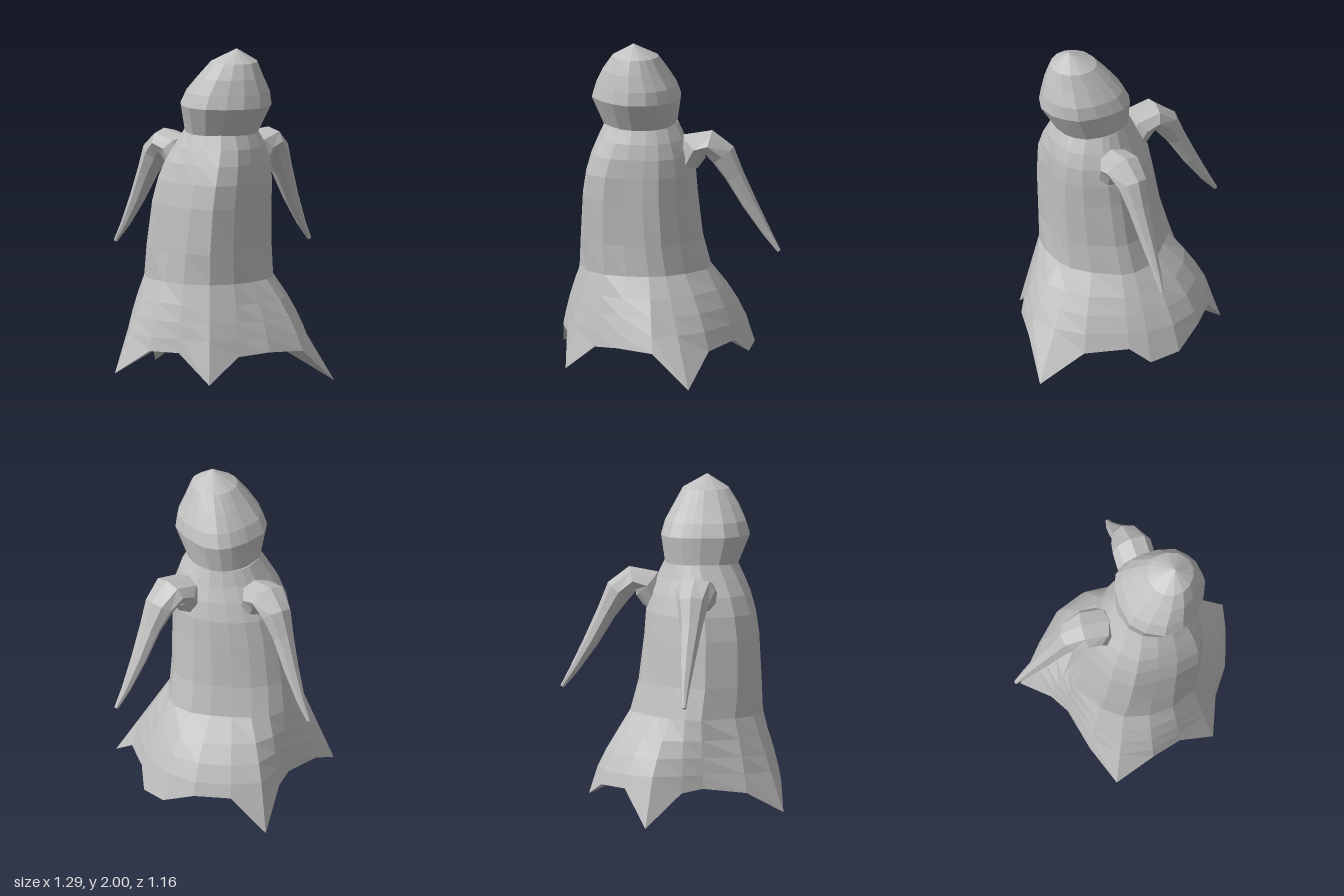
import * as THREE from 'three';

const cloth = new THREE.MeshStandardMaterial({ color: 0xc0c0c0, flatShading: true });
cloth.name = 'pale grey';

// Skins a stack of closed rings; a ring of one point becomes a fan
function loft(name, rings) {
  const pos = [];
  const tri = (...pts) => pts.forEach((p) => pos.push(...p));
  for (let i = 0; i + 1 < rings.length; i++) {
    const lo = rings[i], hi = rings[i + 1];
    const n = Math.max(lo.length, hi.length);
    for (let j = 0; j < n; j++) {
      const k = (j + 1) % n;
      if (lo.length === 1) tri(lo[0], hi[j], hi[k]);
      else if (hi.length === 1) tri(lo[j], hi[0], lo[k]);
      else {
        tri(lo[j], hi[j], hi[k]);
        tri(lo[j], hi[k], lo[k]);
      }
    }
  }
  const geo = new THREE.BufferGeometry();
  geo.setAttribute('position', new THREE.Float32BufferAttribute(pos, 3));
  geo.computeVertexNormals();
  const mesh = new THREE.Mesh(geo, cloth);
  mesh.name = name;
  return mesh;
}

// Ragged hem corners, clockwise from the back
const hem = [
  [-0.35, 0.005, -0.585], [-0.14, 0.22, -0.57], [0.08, 0.22, -0.57], [0.27, 0.14, -0.51],
  [0.40, 0.12, -0.375], [0.43, 0.21, -0.25], [0.52, 0.19, 0], [0.645, 0.01, 0.235],
  [0.45, 0.21, 0.36], [0.245, 0.22, 0.465], [0.06, 0.2, 0.50], [-0.12, 0.045, 0.58],
  [-0.29, 0.22, 0.45], [-0.455, 0.22, 0.36], [-0.65, 0.065, 0.22], [-0.575, 0.19, 0],
  [-0.44, 0.22, -0.22], [-0.40, 0.2, -0.35],
];
const angles = hem.map(([x, , z]) => Math.atan2((z - 0.08) / 0.37, (x + 0.085) / 0.375));

// Oval ring from its height, its extents in x and z, and how far the
// front and back diagonals swell (+) or draw in (-)
const oval = ([y, x0, x1, z0, z1, front, back]) => angles.map((a) => {
  const m = 1 + (Math.sin(a) > 0 ? front : back) * Math.sin(2 * a) ** 2;
  return [
    (x0 + x1) / 2 + ((x1 - x0) / 2) * m * Math.cos(a), y,
    (z0 + z1) / 2 + ((z1 - z0) / 2) * m * Math.sin(a),
  ];
});

function makeRobe() {
  const trunk = [
    [0.62, -0.46, 0.3, -0.305, 0.44, -0.05, 0.14],
    [0.8, -0.45, 0.29, -0.265, 0.455, -0.12, 0.1],
    [1.07, -0.42, 0.29, -0.235, 0.465, -0.16, 0.06],
    [1.21, -0.385, 0.29, -0.215, 0.455, -0.16, 0.06],
    [1.32, -0.34, 0.28, -0.18, 0.42, -0.12, 0.05],
    [1.41, -0.285, 0.25, -0.14, 0.375, -0.06, 0.03],
    [1.5, -0.23, 0.2, -0.11, 0.325, 0, 0],
  ].map(oval);
  // Skirt flares from the trunk to the hem, fuller at the back and between spikes
  const skirt = [0.3, 0.4, 0.5].map((y) => hem.map((h, j) => {
    const t = (0.62 - y) / (0.62 - h[1]);
    const fullness = Math.max(h[1] > 0.1 ? 0.6 : 0, -h[2] / 0.58);
    const f = t + 0.7 * t * (1 - t) * fullness;
    const p = trunk[0][j];
    return [p[0] + (h[0] - p[0]) * f, y, p[2] + (h[2] - p[2]) * f];
  }));
  // The first point is the hollow under the skirt
  return loft('robe', [[[-0.005, 0.39, 0.005]], hem, ...skirt, ...trunk, [[-0.015, 1.5, 0.11]]]);
}

function makeHood() {
  const rows = [
    [1.49, -0.23, 0.205, -0.11, 0.325, 0.04, -0.04],
    [1.66, -0.26, 0.28, -0.13, 0.405, 0.08, -0.11],
    [1.74, -0.225, 0.27, -0.09, 0.39, 0.08, -0.1],
    [1.83, -0.155, 0.23, -0.02, 0.37, 0.08, -0.08],
    [1.92, -0.08, 0.195, 0.06, 0.335, 0.04, -0.04],
  ].map(oval);
  return loft('hood', [[[-0.015, 1.49, 0.11]], ...rows, [[0.07, 2, 0.225]]]);
}

// Drooping, tapering arm: centre x, y, z, then half width and half thickness
function makeArm(name, side) {
  const path = [
    [0.2, 1.26, -0.08, 0.10, 0.075], [0.235, 1.36, -0.115, 0.12, 0.095],
    [0.295, 1.385, -0.175, 0.12, 0.078], [0.347, 1.315, -0.24, 0.095, 0.08],
    [0.395, 1.19, -0.29, 0.068, 0.058], [0.453, 1.015, -0.362, 0.048, 0.045],
    [0.52, 0.845, -0.437, 0.027, 0.027], [0.572, 0.74, -0.485, 0.012, 0.012],
  ];
  const pts = path.map(([x, y, z]) => new THREE.Vector3(side * x - 0.02, y, z));
  const wide = new THREE.Vector3(side * 0.77, 0, 0.64).normalize();
  const rings = path.map(([, , , w, d], i) => {
    const dir = pts[Math.min(i + 1, pts.length - 1)].clone().sub(pts[Math.max(i - 1, 0)]).normalize();
    const deep = wide.clone().cross(dir).normalize();
    return Array.from({ length: 8 }, (_, j) => {
      const a = (j / 8) * Math.PI * 2;
      return pts[i].clone().addScaledVector(wide, w * Math.cos(a))
        .addScaledVector(deep, d * Math.sin(a)).toArray();
    });
  });
  return loft(name, [[pts[0].toArray()], ...rings, [pts[pts.length - 1].toArray()]]);
}

export function createModel() {
  const model = new THREE.Group();
  model.name = 'hoodedGhost';
  model.add(makeRobe(), makeHood(), makeArm('leftArm', 1), makeArm('rightArm', -1));
  return model;
}
